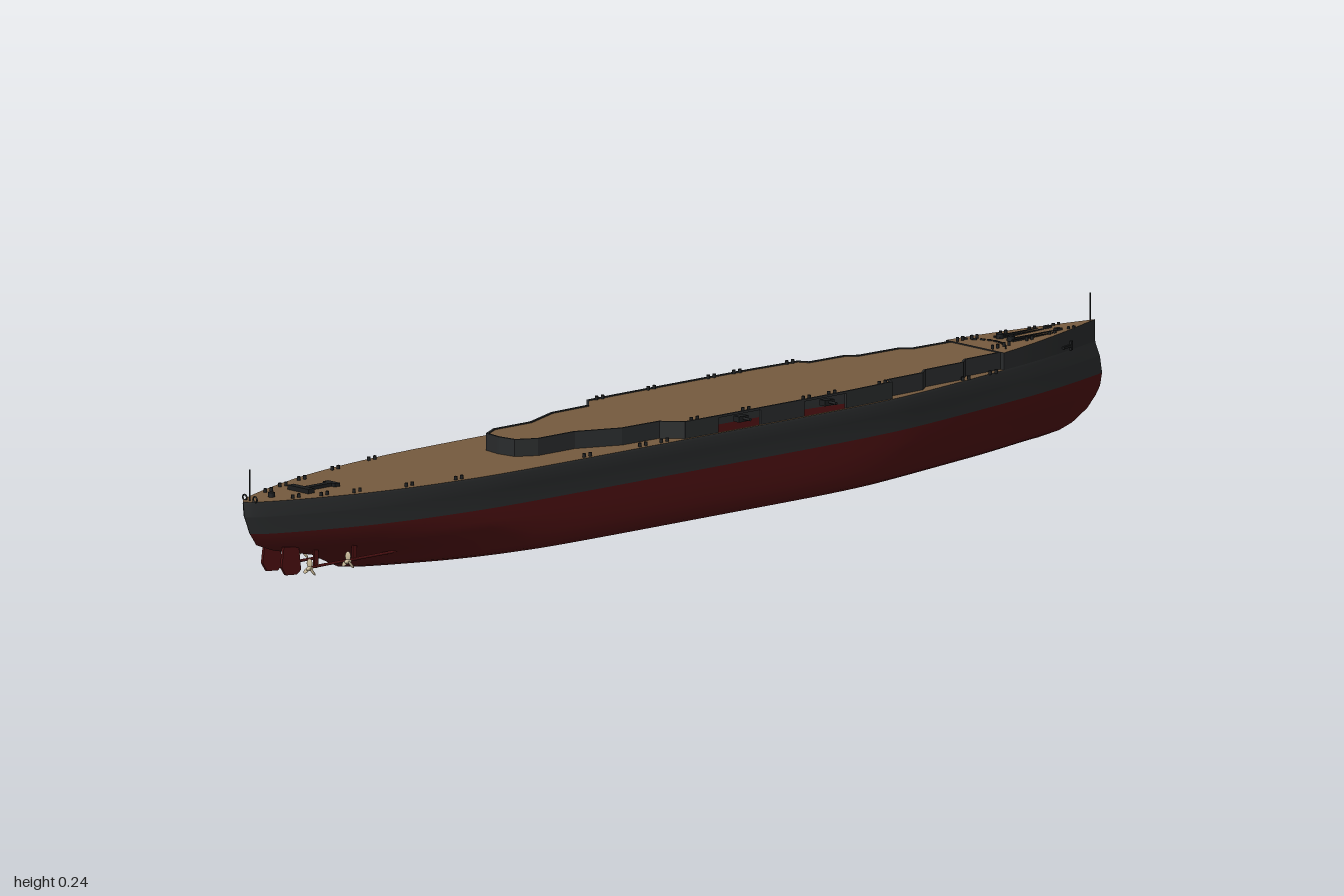
import * as THREE from 'three';

const mat = (name, color) => {
  const m = new THREE.MeshStandardMaterial({ color, side: THREE.DoubleSide });
  m.name = name;
  return m;
};

// Surface through rows of points
function loft(rows) {
  const n = rows[0].length, pos = [], idx = [];
  rows.forEach(r => r.forEach(p => pos.push(p.x, p.y, p.z)));
  for (let i = 0; i < rows.length - 1; i++) for (let j = 0; j < n - 1; j++) {
    const a = i * n + j, b = a + 1, c = a + n, d = c + 1;
    idx.push(a, c, b, b, c, d);
  }
  const g = new THREE.BufferGeometry();
  g.setAttribute('position', new THREE.Float32BufferAttribute(pos, 3));
  g.setIndex(idx);
  g.computeVertexNormals();
  return g;
}

export function createModel() {
  const ship = new THREE.Group();
  ship.name = 'ship';
  const red = mat('hull red', 0x4c1011), dark = mat('dark grey', 0x292b2c),
    wood = mat('deck wood', 0x755a3e), black = mat('fittings black', 0x1b1d1e),
    bronze = mat('propeller bronze', 0xcbbb9a);

  const add = (name, geo, material, x = 0, y = 0, z = 0, parent = ship) => {
    const m = new THREE.Mesh(geo, material);
    m.name = name;
    m.position.set(x, y, z);
    parent.add(m);
    return m;
  };
  const box = (name, w, h, d, m, x, y, z, parent) =>
    add(name, new THREE.BoxGeometry(w, h, d), m, x, y, z, parent);
  const cyl = (name, r, h, m, x, y, z, parent) =>
    add(name, new THREE.CylinderGeometry(r, r, h, 10), m, x, y, z, parent);
  const mirror = p => new THREE.Vector3(-p.x, p.y, p.z);

  // Hull plan: position along the ship, half width as a share of the beam
  const plan = new THREE.SplineCurve([
    [-1, 0], [-0.9, 0.24], [-0.8, 0.44], [-0.7, 0.59], [-0.6, 0.73], [-0.5, 0.86], [-0.4, 0.955],
    [-0.25, 1], [0, 1], [0.3, 1], [0.5, 0.98], [0.6, 0.925], [0.7, 0.825], [0.8, 0.66],
    [0.9, 0.41], [0.96, 0.22], [0.99, 0.09], [1, 0],
  ].map(([z, w]) => new THREE.Vector2(z, w))).getPoints(102);

  // Waterlines: height, bow end, stern end, half beam, fineness
  const line = ([y, bow, stern, beam, fine]) => plan.map(p => new THREE.Vector3(
    beam * Math.pow(Math.max(p.y, 0), fine), y, p.x < 0 ? -p.x * bow : p.x * stern));
  const lower = [
    [0, -0.85, 0.74, 0.105, 1.2], [0.006, -0.9, 0.78, 0.115, 1.2], [0.015, -0.93, 0.80, 0.122, 1.25],
    [0.035, -0.965, 0.84, 0.125, 1.25], [0.055, -0.985, 0.93, 0.1265, 1.15],
    [0.07, -0.995, 0.97, 0.127, 1.05], [0.092, -1, 0.985, 0.1275, 1]].map(line);
  const upper = [
    [0.092, -1, 0.985, 0.1275, 1], [0.122, -0.995, 0.997, 0.128, 1], [0.124, -0.994, 0.998, 0.1305, 1],
    [0.146, -0.985, 1, 0.1305, 1], [0.15, -0.984, 1, 0.129, 1]].map(line);
  const rail = upper[4];

  // Forecastle side, rising to the bow
  const foot = rail.filter(p => p.z < -0.7);
  const sheer = foot.map(p => new THREE.Vector3(p.x, 0.18 + 0.008 * (-p.z - 0.7) / 0.284, p.z));
  for (const s of [1, -1]) {
    const side = s > 0 ? 'left' : 'right';
    add(side + 'LowerHull', loft(lower), red).scale.x = s;
    add(side + 'UpperHull', loft(upper), dark).scale.x = s;
    add(side + 'ForecastleSide', loft([foot, sheer]), dark).scale.x = s;
  }
  add('keelPlate', loft([lower[0], lower[0].map(mirror)]), red);
  add('forecastleDeck', loft([sheer, sheer.map(mirror)]), wood);
  const last = sheer[sheer.length - 1];
  box('forecastleBulkhead', last.x * 2, 0.03, 0.003, dark, 0, 0.165, last.z);

  // Deckhouse outline, one side from stern to bow
  const house = [[0, 0.405], [0.035, 0.4], [0.055, 0.365], [0.055, 0.28], [0.088, 0.2], [0.09, 0.115],
    [0.123, 0.085], [0.124, 0.01], [0.124, -0.09], [0.124, -0.19], [0.123, -0.29], [0.118, -0.4],
    [0.1, -0.41], [0.098, -0.49], [0.083, -0.51], [0.081, -0.6], [0.065, -0.62], [0.062, -0.72]];
  const gaps = [7, 9];
  const ring = pts => [...pts, ...pts.slice().reverse().map(([x, z]) => [-x, z])]
    .map(([x, z]) => new THREE.Vector2(x, z));
  const flat = shape => new THREE.ShapeGeometry(shape).rotateX(Math.PI / 2);

  // Main deck, open under the deckhouse
  const main = new THREE.Shape(ring(rail.filter(p => p.z > -0.75).map(p => [p.x, p.z])));
  main.holes.push(new THREE.Path(ring(house.slice(1))));
  add('mainDeck', flat(main), wood, 0, 0.15, 0);
  add('upperDeck', flat(new THREE.Shape(ring(house.slice(1)))), wood, 0, 0.178, 0);
  const aftCap = new THREE.Shape([[-0.035, 0.4], [0, 0.405], [0.035, 0.4]].map(p => new THREE.Vector2(...p)));
  add('upperDeckAftEdge', flat(aftCap), wood, 0, 0.178, 0);

  // Deckhouse walls with open gun bays
  for (const s of [1, -1]) for (let i = 0; i < house.length - 1; i++) {
    const [x0, z0] = house[i], [x1, z1] = house[i + 1];
    const open = gaps.includes(i), h = open ? 0.004 : 0.03;
    const wall = box(open ? 'gunBayLintel' : 'deckhouseWall', 0.004, h, Math.hypot(x1 - x0, z1 - z0) + 0.002,
      dark, s * (x0 + x1) / 2, 0.18 - h / 2, (z0 + z1) / 2);
    wall.rotation.y = Math.atan2(s * (x1 - x0), z1 - z0);
    if (open) {
      box('bayGun', 0.014, 0.01, 0.022, black, s * 0.113, 0.164, (z0 + z1) / 2 - 0.015);
      cyl('bayGunBarrel', 0.0025, 0.03, black, s * 0.122, 0.165, (z0 + z1) / 2 - 0.015).rotation.z = Math.PI / 2;
    }
  }

  // Breakwater arc at the front of the upper deck
  for (let i = -4; i <= 4; i++) {
    const x = i * 0.013;
    box('breakwater', 0.009, 0.003, 0.003, black, x, 0.1825, -0.752 + x * x * 9).rotation.y = -x * 15;
  }

  // Paired deck fittings
  for (const s of [1, -1]) {
    box('anchorChain', 0.005, 0.003, 0.12, black, s * 0.011, 0.184, -0.83);
    box('chainGuide', 0.004, 0.003, 0.1, black, s * 0.023, 0.184, -0.82);
    cyl('capstan', 0.007, 0.009, black, s * 0.014, 0.186, -0.775);
    box('chainStopper', 0.01, 0.006, 0.012, black, s * 0.013, 0.186, -0.885);
    for (const z of [-0.91, -0.86, -0.8, -0.74, -0.71])
      for (const dz of [-0.006, 0.006])
        cyl('bowBollard', 0.0028, 0.007, black, s * (0.125 * (1 + z) + 0.008), 0.186, z + dz);
    for (const [x, z, y] of [[0.083, -0.67, 0.153], [0.09, -0.6, 0.153], [0.117, -0.38, 0.181],
      [0.12, -0.26, 0.181], [0.12, -0.2, 0.181], [0.12, -0.06, 0.181], [0.12, 0.06, 0.181],
      [0.12, 0.13, 0.153], [0.12, 0.18, 0.153], [0.12, 0.31, 0.153], [0.11, 0.6, 0.153],
      [0.094, 0.7, 0.153], [0.07, 0.8, 0.153], [0.052, 0.86, 0.153], [0.035, 0.91, 0.153]])
      for (const dz of [-0.007, 0.007])
        cyl('sideBollard', 0.003, 0.007, black, s * x, y, z + dz);
    // Anchor and hawse pipe
    const hawse = new THREE.Group();
    hawse.name = 'anchor';
    hawse.position.set(s * 0.031, 0.158, -0.89);
    hawse.rotation.y = s * 0.27;
    ship.add(hawse);
    box('anchorShank', 0.006, 0.004, 0.028, black, 0, 0, 0, hawse);
    box('anchorFluke', 0.006, 0.016, 0.005, black, 0, 0, -0.012, hawse);
    // Stern fairleads
    add('sternFairlead', new THREE.TorusGeometry(0.005, 0.0015, 6, 14), black, s * 0.013, 0.154, 0.985);
  }

  // Stern winch and flagstaffs
  box('sternHatch', 0.012, 0.006, 0.075, black, 0, 0.153, 0.828);
  box('sternHatchHead', 0.03, 0.006, 0.012, black, 0, 0.153, 0.795);
  box('sternWinch', 0.052, 0.008, 0.014, black, 0, 0.154, 0.866);
  cyl('sternCapstan', 0.006, 0.008, black, 0, 0.154, 0.935);
  cyl('sternStaff', 0.0012, 0.055, black, 0, 0.177, 0.985);
  cyl('bowStaff', 0.0012, 0.05, black, 0, 0.211, -0.972);

  // Propellers, shafts and rudders
  for (const s of [1, -1]) {
    for (const [x, y, z] of [[0.058, 0.028, 0.81], [0.026, 0.019, 0.87]]) {
      const prop = new THREE.Group();
      prop.name = 'propeller';
      prop.position.set(s * x, y, z);
      ship.add(prop);
      add('hub', new THREE.SphereGeometry(0.004, 12, 8), bronze, 0, 0, 0, prop).scale.z = 2;
      for (let i = 0; i < 3; i++) {
        const arm = new THREE.Group();
        arm.rotation.z = i * Math.PI * 2 / 3;
        arm.name = 'bladeArm';
        prop.add(arm);
        const blade = add('blade', new THREE.SphereGeometry(1, 12, 8), bronze, 0, 0.009, 0, arm);
        blade.scale.set(0.0052, 0.0085, 0.0015);
        blade.rotation.y = 0.5;
      }
      cyl('propellerShaft', 0.0025, 0.15, red, s * x, y + 0.002, z - 0.075).rotation.x = Math.PI / 2;
      box('shaftBracket', 0.003, 0.035, 0.01, red, s * x, y + 0.017, z - 0.015);
    }
    const blade = new THREE.Shape([[0.895, 0.06], [0.89, 0.02], [0.9, 0.013], [0.925, 0.015],
      [0.935, 0.03], [0.93, 0.065]].map(([z, y]) => new THREE.Vector2(-z, y)));
    const rudder = new THREE.ExtrudeGeometry(blade, { depth: 0.005, bevelEnabled: false });
    rudder.translate(0, 0, -0.0025).rotateY(Math.PI / 2);
    add('rudder', rudder, red, s * 0.024, 0, 0);
  }
  return ship;
}
